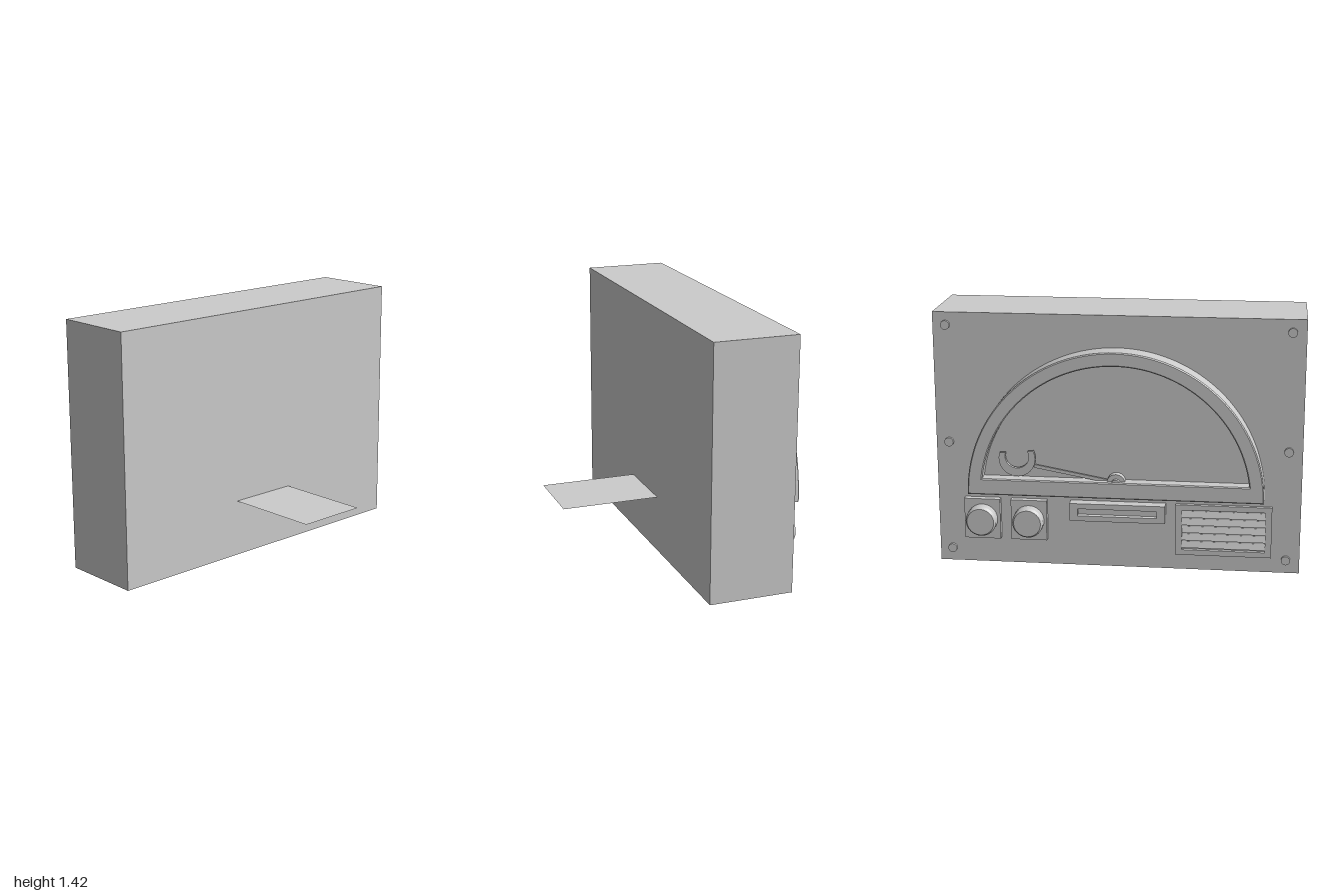
import * as THREE from 'three';

const grey = new THREE.MeshStandardMaterial({ color: 0xcccccc, side: THREE.DoubleSide });

export function createModel() {
  const model = new THREE.Group();

  function add(parent, name, geometry, x, y, z) {
    const mesh = new THREE.Mesh(geometry, grey);
    mesh.name = name;
    mesh.position.set(x, y, z);
    parent.add(mesh);
    return mesh;
  }

  // Housing and the card sticking out of its plain side
  add(model, 'housing', new THREE.BoxGeometry(0.475, 1.42, 2), -0.2175, 0.71, 0);
  add(model, 'card', new THREE.PlaneGeometry(0.555, 0.41).rotateX(-Math.PI / 2), 0.2975, 0.325, -0.005);

  // Instrument panel: local x runs along the panel, local z points out of it
  const panel = new THREE.Group();
  panel.name = 'instrumentPanel';
  panel.position.x = -0.455;
  panel.rotation.y = -Math.PI / 2;
  model.add(panel);

  const box = (name, x0, x1, y0, y1, z0, z1) =>
    add(panel, name, new THREE.BoxGeometry(x1 - x0, y1 - y0, z1 - z0),
      (x0 + x1) / 2, (y0 + y1) / 2, (z0 + z1) / 2);
  const disc = (name, x, y, z0, z1, rBase, rTip = rBase, sides = 24) =>
    add(panel, name, new THREE.CylinderGeometry(rTip, rBase, z1 - z0, sides).rotateX(Math.PI / 2),
      x, y, (z0 + z1) / 2);
  const rect = (Type, x0, x1, y0, y1) => new Type([
    new THREE.Vector2(x0, y0), new THREE.Vector2(x1, y0),
    new THREE.Vector2(x1, y1), new THREE.Vector2(x0, y1)]);

  // Half-round gauge: bevelled bezel with a recessed dial face
  const bevel = 0.006;
  const bezel = new THREE.Shape();
  bezel.absarc(0, 0, 0.805 - bevel, 0, Math.PI, false);
  bezel.closePath();
  const opening = new THREE.Path();
  const cut = Math.asin(0.08 / 0.735);
  opening.absarc(0, 0, 0.735, cut, Math.PI - cut, false);
  opening.closePath();
  bezel.holes.push(opening);
  add(panel, 'gaugeBezel', new THREE.ExtrudeGeometry(bezel, {
    depth: 0.12 - bevel, bevelEnabled: true, bevelThickness: bevel,
    bevelSize: bevel, bevelSegments: 1, curveSegments: 40,
  }), -0.005, 0.44, 0);
  add(panel, 'dialFace', new THREE.CircleGeometry(0.76, 40, 0, Math.PI), -0.005, 0.44, 0.05);

  // Needle with its pivot and crescent tip
  disc('needlePivot', 0, 0.515, 0.05, 0.09, 0.05);
  disc('needleCap', 0, 0.515, 0.09, 0.11, 0.025);
  const needle = add(panel, 'needle', new THREE.BoxGeometry(0.45, 0.018, 0.012), -0.225, 0.555, 0.075);
  needle.rotation.z = -0.18;
  const crescent = new THREE.Shape();
  crescent.absarc(0, 0, 0.1, Math.PI * 0.9, Math.PI * 2.15, false);
  crescent.absarc(0, 0.012, 0.065, Math.PI * 2.15, Math.PI * 0.9, true);
  crescent.closePath();
  add(panel, 'needleCrescent', new THREE.ExtrudeGeometry(crescent,
    { depth: 0.02, bevelEnabled: false, curveSegments: 16 }), -0.54, 0.635, 0.065);

  // Two knobs on their backing plates
  for (const x of [-0.75, -0.49]) {
    box('knobPlate', x - 0.1, x + 0.1, 0.15, 0.38, 0, 0.035);
    disc('knobBody', x, 0.265, 0.035, 0.082, 0.085);
    disc('knobTip', x, 0.265, 0.082, 0.097, 0.085, 0.075);
  }

  // Slot housing
  const slot = rect(THREE.Shape, -0.26, 0.265, 0.28, 0.38);
  slot.holes.push(rect(THREE.Path, -0.215, 0.22, 0.31, 0.35));
  add(panel, 'slotHousing', new THREE.ExtrudeGeometry(slot, { depth: 0.06, bevelEnabled: false }), 0, 0, 0);
  box('slotFloor', -0.22, 0.225, 0.3, 0.36, 0, 0.03);

  // Louvred grille
  const grille = rect(THREE.Shape, 0.32, 0.845, 0.09, 0.38);
  grille.holes.push(rect(THREE.Path, 0.355, 0.81, 0.12, 0.35));
  add(panel, 'grilleFrame', new THREE.ExtrudeGeometry(grille, { depth: 0.02, bevelEnabled: false }), 0, 0, 0);
  for (let i = 0; i < 5; i++) {
    const louvre = box('grilleLouvre', 0.355, 0.81, 0.129 + i * 0.044, 0.165 + i * 0.044, 0.004, 0.012);
    louvre.rotation.x = -0.3;
  }

  // Panel screws
  for (const x of [-0.93, 0.925])
    for (const y of [0.075, 0.695, 1.35]) disc('screw', x, y, 0, 0.015, 0.025, 0.025, 16);

  return model;
}
